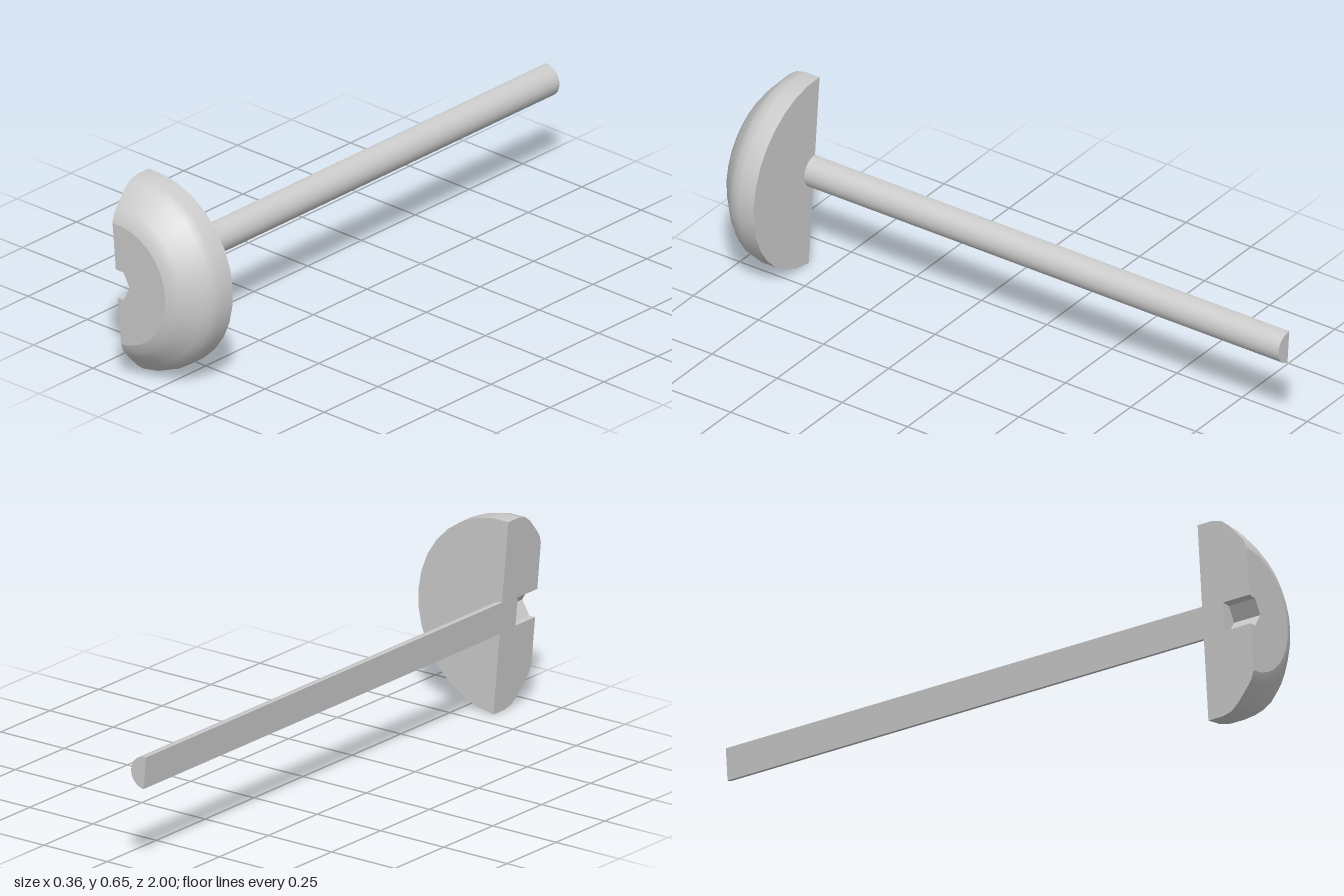
import * as THREE from 'three';

const TILT = 0.09;                 // lean of the cutting plane
const SIDES = 16;                  // facets over the half turn
const SHANK_R = 0.054, FACE_R = 0.205;
const BACK = -1, SEAT = 0.82, FRONT = 1, FLOOR = 0.9;

export function createModel() {
  const material = new THREE.MeshStandardMaterial({ color: 0xcccccc });
  const model = new THREE.Group();
  model.name = 'halvedBolt';
  model.position.set(-0.1485, 0.3275, 0);

  const add = (name, geometry) => {
    const mesh = new THREE.Mesh(geometry, material);
    mesh.name = name;
    model.add(mesh);
  };
  const vec = ([x, y]) => new THREE.Vector2(x, y);

  // Half turn of a [radius, z] profile around the bolt axis
  const halfTurn = (profile) =>
    new THREE.LatheGeometry(profile.map(vec), SIDES, 0, Math.PI)
      .rotateX(Math.PI / 2).rotateZ(TILT);

  // Rounded head profile, from the seat to the flat front
  const dome = [[0.327, SEAT], [0.327, 0.875], [0.319, 0.908], [0.298, 0.935],
    [0.255, 0.973], [0.232, 0.991], [FACE_R, FRONT]];

  add('shankEnd', halfTurn([[0, BACK], [SHANK_R, BACK]]));
  add('shank', halfTurn([[SHANK_R, BACK], [SHANK_R, SEAT]]));
  add('headUnderside', halfTurn([[SHANK_R, SEAT], [0.327, SEAT]]));
  add('headDome', halfTurn(dome));

  // Hexagonal socket, cut in half by the tilted plane
  const hexR = 0.055, h = hexR * Math.sin(Math.PI / 3), k = h * Math.tan(TILT);
  const socket = [[-k, h], [hexR / 2, h], [hexR, 0], [hexR / 2, -h], [k, -h]];

  // Flat front of the head around the socket
  const arc = [];
  for (let i = 0; i <= SIDES; i++) {
    const a = TILT - Math.PI / 2 + Math.PI * i / SIDES;
    arc.push([FACE_R * Math.cos(a), FACE_R * Math.sin(a)]);
  }
  add('headFront', new THREE.ShapeGeometry(new THREE.Shape([...arc, ...socket].map(vec)))
    .translate(0, 0, FRONT));

  // Socket floor and walls
  add('socketFloor', new THREE.ShapeGeometry(new THREE.Shape(socket.map(vec)))
    .translate(0, 0, FLOOR));
  const walls = [];
  for (let i = 0; i < socket.length - 1; i++) {
    const a = socket[i], b = socket[i + 1];
    walls.push(...a, FRONT, ...b, FLOOR, ...b, FRONT);
    walls.push(...a, FRONT, ...a, FLOOR, ...b, FLOOR);
  }
  const wallGeometry = new THREE.BufferGeometry();
  wallGeometry.setAttribute('position', new THREE.Float32BufferAttribute(walls, 3));
  wallGeometry.computeVertexNormals();
  add('socketWalls', wallGeometry);

  // Flat section face: [z, height along the cut], mirrored about the axis
  const s = h / Math.cos(TILT);
  const upper = [[BACK, SHANK_R], [SEAT, SHANK_R], ...dome.map(([r, z]) => [z, r]),
    [FRONT, s], [FLOOR, s]];
  const lower = upper.map(([z, v]) => [z, -v]).reverse();
  const zAxis = new THREE.Vector3(0, 0, 1);
  const along = new THREE.Vector3(-Math.sin(TILT), Math.cos(TILT), 0);
  const toCut = new THREE.Matrix4().makeBasis(zAxis, along, zAxis.clone().cross(along));
  add('sectionFace', new THREE.ShapeGeometry(new THREE.Shape([...upper, ...lower].map(vec)))
    .applyMatrix4(toCut));

  const root = new THREE.Group();
  root.name = 'model';
  root.add(model);
  return root;
}
